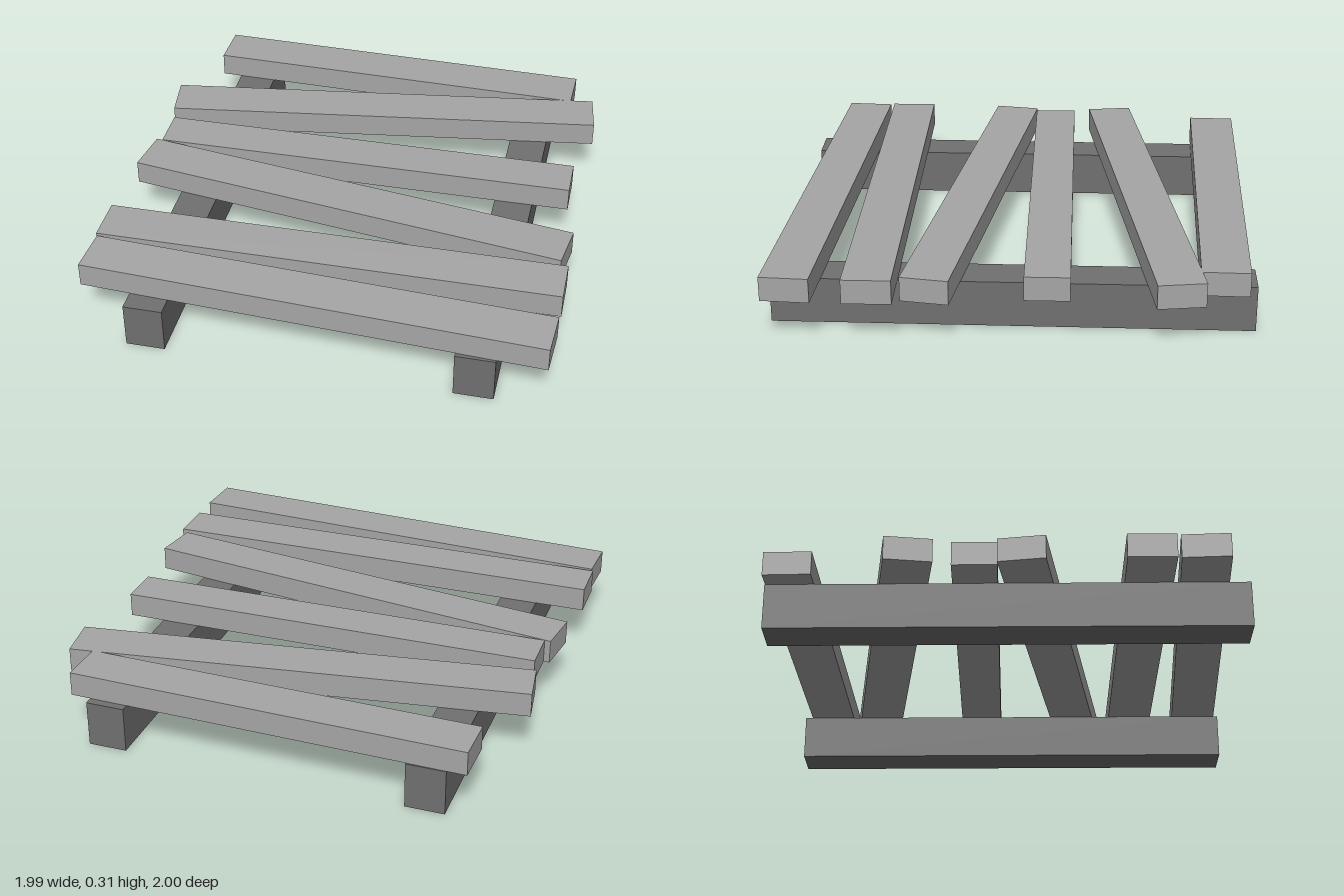
import * as THREE from 'three';

const plankMaterial = new THREE.MeshStandardMaterial({ color: 0xa6a6a6, flatShading: true });
const beamMaterial = new THREE.MeshStandardMaterial({ color: 0x707070, flatShading: true });

function board(name, material, width, height, depth, x, y, z) {
  const mesh = new THREE.Mesh(new THREE.BoxGeometry(width, height, depth), material);
  mesh.name = name;
  mesh.position.set(x, y, z);
  return mesh;
}

export function createModel() {
  const group = new THREE.Group();
  group.name = 'woodenPallet';

  const beamHeight = 0.2;
  const plankHeight = 0.105;

  // Two darker support beams running front to back
  for (const [name, side] of [['leftBeam', 1], ['rightBeam', -1]]) {
    group.add(board(name, beamMaterial, 0.167, beamHeight, 2, side * 0.691, beamHeight / 2, 0));
  }

  // Crooked planks, back to front: centre z, length, width, drift in z from -x to +x
  const planks = [
    [-0.88, 1.72, 0.2, 0.038],
    [-0.54, 1.965, 0.2, -0.284],
    [-0.14, 1.865, 0.187, -0.014],
    [0.2, 1.965, 0.2, 0.284],
    [0.576, 1.985, 0.202, -0.012],
    [0.849, 1.978, 0.202, 0.1],
  ];
  planks.forEach(([z, length, width, drift], i) => {
    const y = beamHeight + plankHeight / 2;
    const plank = board(`plank${i + 1}`, plankMaterial, length, plankHeight, width, 0, y, z);
    plank.rotation.y = -Math.asin(drift / length);
    group.add(plank);
  });

  return group;
}
